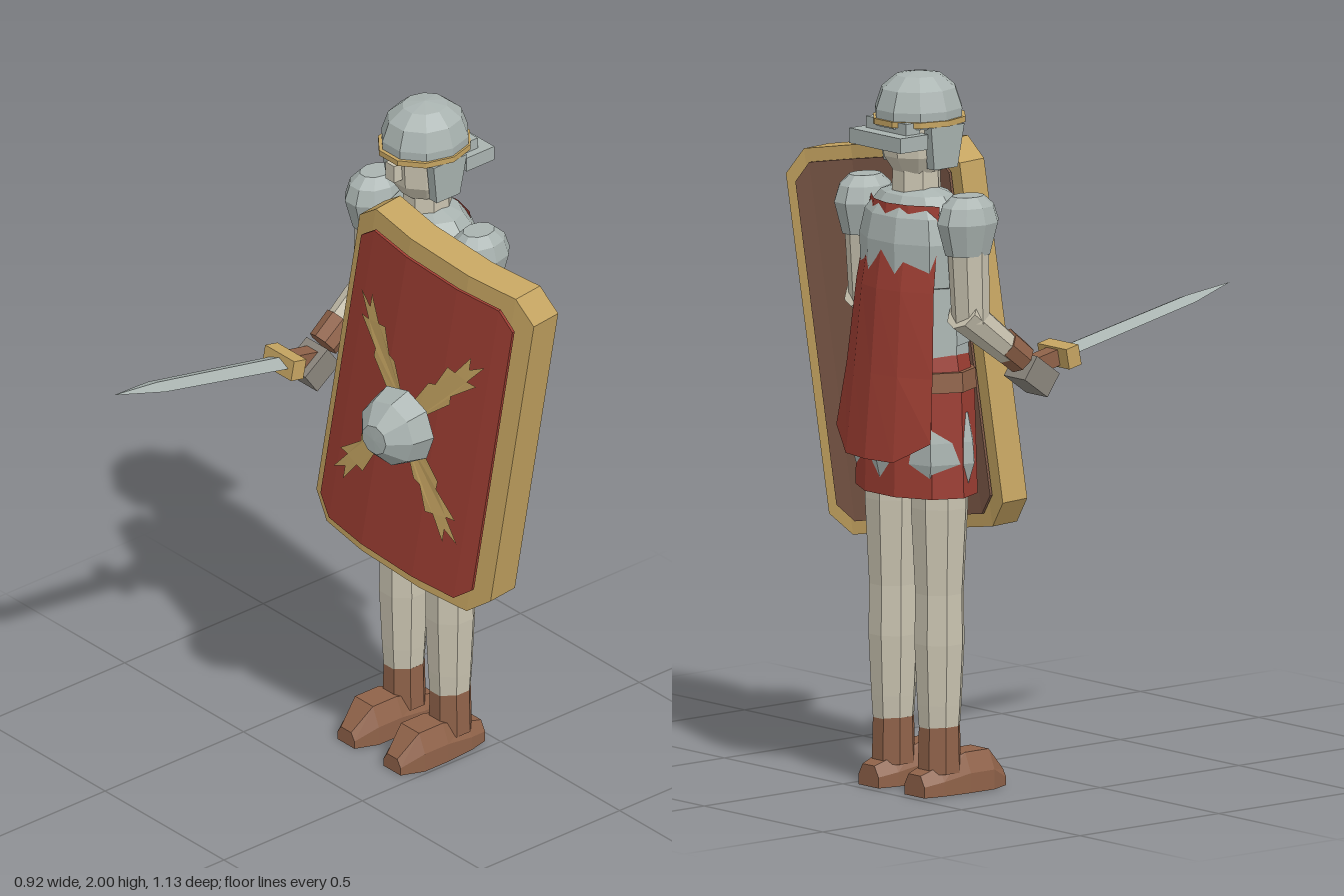
import * as THREE from 'three';

const mat = (name, color) => {
  const m = new THREE.MeshStandardMaterial({ color });
  m.name = name;
  return m;
};

export function createModel() {
  const steel = mat('steel', 0xa9b3b0), gold = mat('gold', 0xc5a461), red = mat('red cloth', 0x9c3d32);
  const leather = mat('leather', 0x8f6249), wood = mat('shield wood', 0x7d5948);
  const skin = mat('skin', 0xc9c3b0), glove = mat('glove', 0x8a857c);
  const capeRed = mat('cape red', 0x9c3d32);
  const emblemGold = mat('emblem gold', 0xc5a461);
  capeRed.side = emblemGold.side = THREE.DoubleSide;

  const model = new THREE.Group();
  model.name = 'shieldBearer';
  const body = new THREE.Group();
  body.name = 'body';
  body.position.set(-0.17, 0, -0.38);
  model.add(body);

  // Faceted mesh
  function add(parent, name, geo, material, x = 0, y = 0, z = 0) {
    const g = geo.index ? geo.toNonIndexed() : geo;
    g.computeVertexNormals();
    const m = new THREE.Mesh(g, material);
    m.name = name;
    m.position.set(x, y, z);
    parent.add(m);
    return m;
  }
  // Turned profile [radius, height], squashed by sx and sz
  function turned(profile, sides, sx = 1, sz = 1) {
    const g = new THREE.LatheGeometry(profile.map(([r, y]) => new THREE.Vector2(r, y)), sides);
    return g.rotateY(Math.PI / sides).scale(sx, 1, sz);
  }
  // Tapered limb between two points
  function limb(parent, name, a, b, ra, rb, material) {
    const A = new THREE.Vector3(...a), B = new THREE.Vector3(...b), d = B.clone().sub(A);
    const m = add(parent, name, new THREE.CylinderGeometry(rb, ra, d.length(), 8), material);
    m.position.copy(A).addScaledVector(d, 0.5);
    m.quaternion.setFromUnitVectors(new THREE.Vector3(0, 1, 0), d.normalize());
    return m;
  }
  function reshape(geo, rule) {
    const p = geo.attributes.position, v = new THREE.Vector3();
    for (let i = 0; i < p.count; i++) {
      rule(v.fromBufferAttribute(p, i));
      p.setXYZ(i, v.x, v.y, v.z);
    }
    return geo;
  }

  // Legs and boots: foot stations are [z, half width, height]
  const foot = [[-0.09, 0.042, 0.06], [-0.03, 0.056, 0.08], [0.06, 0.063, 0.11], [0.145, 0.063, 0.11], [0.21, 0.036, 0.045]];
  for (const s of [-1, 1]) {
    const x = s * 0.097;
    add(body, 'leg', turned([[0.055, 0.15], [0.062, 0.25], [0.07, 0.42], [0.068, 0.56], [0.08, 0.8], [0.08, 0.92]], 8, 1, 1.04), skin, x);
    add(body, 'bootShaft', turned([[0.061, 0.06], [0.058, 0.19], [0, 0.19]], 8, 1, 1.03), leather, x);
    const shoe = reshape(new THREE.BoxGeometry(1, 1, 1, 1, 2, 4), v => {
      const [z, w, h] = foot[Math.round((v.z + 0.5) * 4)];
      const narrow = v.y > 0.4 ? 0.6 : 1;
      v.set(v.x * 2 * w * narrow, (v.y + 0.5) * h, z);
    });
    add(body, 'boot', shoe, leather, x);
  }

  // Tunic, mail hem and belt
  add(body, 'tunicSkirt', turned([[0, 0.86], [0.2, 0.835], [0.19, 1.13], [0.17, 1.23]], 10, 1, 0.7), red);
  add(body, 'mailHem', turned([[0.19, 0.87], [0.212, 0.93], [0.207, 0.99], [0.188, 1.07]], 7, 1, 0.68), steel);
  add(body, 'belt', turned([[0.18, 1.13], [0.197, 1.13], [0.193, 1.185], [0.16, 1.185]], 10, 1, 0.7), leather);

  // Banded cuirass
  for (let i = 0; i < 4; i++) {
    const y = 1.2 + i * 0.055;
    add(body, 'torsoBand', turned([[0.14, y], [0.172, y], [0.168, y + 0.056], [0.14, y + 0.056]], 10, 1, 0.72), steel);
  }
  add(body, 'chest', turned([[0.15, 1.41], [0.178, 1.42], [0.183, 1.54], [0.165, 1.61], [0.115, 1.665], [0.05, 1.685]], 10, 1, 0.74), steel);

  // Arms
  for (const s of [-1, 1]) {
    const x = s * 0.217;
    add(body, 'shoulderGuard', turned([[0, 1.52], [0.055, 1.52], [0.075, 1.61], [0.063, 1.655], [0.038, 1.683], [0, 1.683]], 10, 1, 1.28), steel, x);
    limb(body, 'upperArm', [x, 1.56, 0], [x, 1.33, 0.01], 0.058, 0.052, skin);
    limb(body, 'forearm', [x, 1.36, -0.02], [x, 1.235, 0.145], 0.053, 0.043, skin);
    limb(body, 'wristCuff', [x, 1.255, 0.125], [x, 1.205, 0.19], 0.047, 0.045, leather);
    add(body, 'hand', new THREE.BoxGeometry(0.09, 0.075, 0.1), glove, x, 1.155, 0.23).rotation.x = 0.62;
  }

  // Head and helmet
  add(body, 'neck', turned([[0.066, 1.62], [0.064, 1.78]], 8, 1, 1.1), skin);
  add(body, 'head', turned([[0, 1.715], [0.065, 1.725], [0.092, 1.77], [0.1, 1.88], [0, 1.9]], 10, 1, 1.12), skin, 0, 0, 0.005);
  add(body, 'nose', new THREE.BoxGeometry(0.036, 0.052, 0.035), skin, 0, 1.82, 0.117);
  add(body, 'helmetDome', turned([[0, 1.855], [0.117, 1.855], [0.118, 1.9], [0.1, 1.955], [0.06, 1.99], [0, 2]], 10, 1, 1.09), steel, 0, 0, 0.008);
  add(body, 'helmetBand', turned([[0.1, 1.86], [0.124, 1.86], [0.124, 1.876], [0.1, 1.876]], 10, 1, 1.11), gold, 0, 0, 0.01);
  add(body, 'neckGuard', new THREE.BoxGeometry(0.216, 0.042, 0.1), steel, 0, 1.822, -0.1);
  add(body, 'helmetBack', new THREE.BoxGeometry(0.17, 0.05, 0.05), steel, 0, 1.85, -0.085);
  for (const s of [-1, 1]) {
    const plate = reshape(new THREE.BoxGeometry(0.03, 0.12, 0.12), v => {
      if (v.y < 0) { v.z *= 0.7; v.x -= s * 0.008; }
    });
    add(body, 'cheekGuard', plate, steel, s * 0.1, 1.8, 0.015);
  }

  // Cape: widens and swings back towards the hem
  const capeZ = [-0.108, -0.145, -0.165, -0.187];
  const cape = reshape(new THREE.PlaneGeometry(2, 1, 4, 3), v => {
    const row = Math.round((0.5 - v.y) * 3), a = Math.abs(v.x);
    const y = 1.645 - row * 0.235 + (row === 3 && a > 0.9 ? 0.06 : 0);
    v.set(v.x * (0.145 + row * 0.018), y, capeZ[row] + 0.068 * a * a);
  });
  add(body, 'cape', cape, capeRed);

  // Sword: local +z points along the blade
  const sword = new THREE.Group();
  sword.name = 'sword';
  sword.position.set(-0.387, 1.2, -0.05);
  sword.rotation.x = -0.2;
  model.add(sword);
  add(sword, 'grip', new THREE.BoxGeometry(0.046, 0.046, 0.14), leather, 0, 0, -0.07);
  add(sword, 'guard', new THREE.BoxGeometry(0.122, 0.058, 0.045), gold);
  const blade = new THREE.CylinderGeometry(1, 1, 1, 4, 2).rotateX(Math.PI / 2);
  reshape(blade, v => {
    const k = Math.round((v.z + 0.5) * 2), w = [0.043, 0.037, 0][k], t = [0.017, 0.014, 0][k];
    v.set(v.x * w, v.y * t, [0.01, 0.47, 0.628][k]);
  });
  add(sword, 'blade', blade, steel);

  // Curved shield with cut corners
  const shield = new THREE.Group();
  shield.name = 'shield';
  shield.position.set(0.072, 1.207, -0.125);
  shield.rotation.set(0, 0.131, -0.17, 'YXZ');
  model.add(shield);
  const bend = x => -0.43 * x * x;
  function panel(w, h, d, cut) {
    const cols = [-w / 2, -w / 2 + cut, -w / 6, w / 6, w / 2 - cut, w / 2];
    return reshape(new THREE.BoxGeometry(1, h, d, 5, 1, 1), v => {
      const k = Math.round((v.x + 0.5) * 5);
      v.x = cols[k];
      if (k === 0 || k === 5) v.y -= Math.sign(v.y) * cut;
      v.z += bend(v.x);
    });
  }
  add(shield, 'shieldRim', panel(0.65, 1.07, 0.1, 0.064), gold, 0, 0, -0.05);
  add(shield, 'shieldFace', panel(0.565, 0.985, 0.009, 0.05), red, 0, 0, 0.02);
  add(shield, 'shieldBack', panel(0.575, 0.995, 0.009, 0.05), wood, 0, 0, -0.112);

  // Four forked rays around the boss
  const ray = [[0.03, -0.018], [0.19, -0.042], [0.21, -0.026], [0.31, -0.046], [0.295, -0.02], [0.38, -0.018],
    [0.33, 0.002], [0.365, 0.026], [0.28, 0.02], [0.27, 0.044], [0.19, 0.026], [0.17, 0.04], [0.03, 0.018]];
  for (const sx of [-1, 1]) for (const sy of [-1, 1]) {
    const a = Math.atan2(sy * Math.sin(0.97), sx * Math.cos(0.97));
    const shape = new THREE.Shape(ray.map(([s, t]) => new THREE.Vector2(s, t * sx * sy)));
    const g = new THREE.ShapeGeometry(shape).rotateZ(a);
    add(shield, 'shieldRay', reshape(g, v => { v.z = bend(v.x); }), emblemGold, 0, 0, 0.043);
  }
  const boss = turned([[0, 0], [0.115, 0], [0.097, 0.065], [0.044, 0.118], [0, 0.12]], 9).rotateX(Math.PI / 2);
  add(shield, 'shieldBoss', boss, steel, 0.012, 0, 0.06);

  return model;
}
